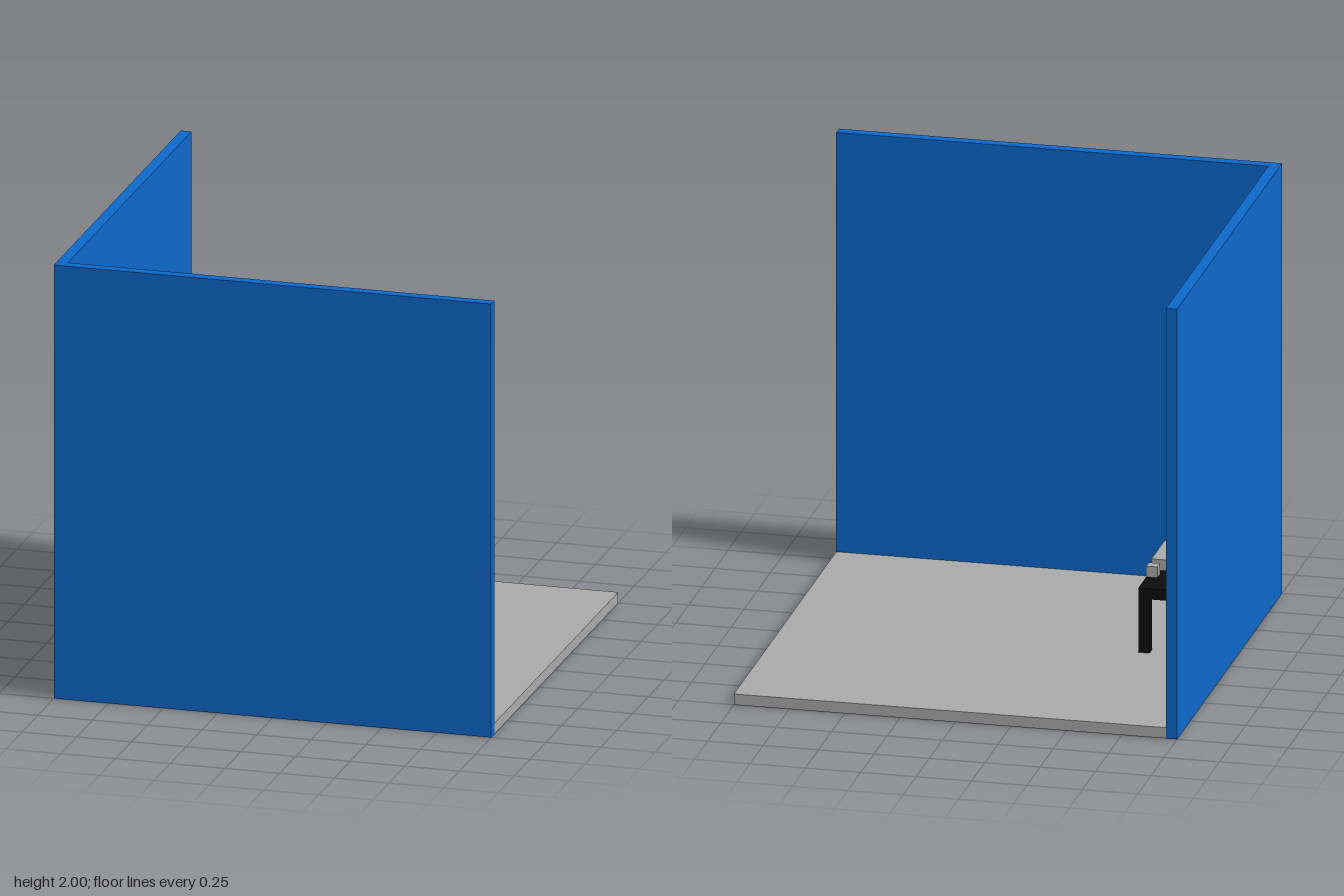
import * as THREE from 'three';

export function createModel() {
  const model = new THREE.Group();
  model.name = 'officeCorner';

  const material = (name, color) => {
    const m = new THREE.MeshStandardMaterial({ color });
    m.name = name;
    return m;
  };
  const blue = material('wallBlue', 0x0d68cb);
  const grey = material('lightGrey', 0xa9a9a9);
  const black = material('black', 0x0d0d0d);

  // Box given by its lower and upper bounds on each axis
  const block = (parent, name, mat, [x0, x1], [y0, y1], [z0, z1]) => {
    const mesh = new THREE.Mesh(new THREE.BoxGeometry(x1 - x0, y1 - y0, z1 - z0), mat);
    mesh.position.set((x0 + x1) / 2, (y0 + y1) / 2, (z0 + z1) / 2);
    mesh.name = name;
    parent.add(mesh);
  };
  const group = (name) => {
    const g = new THREE.Group();
    g.name = name;
    model.add(g);
    return g;
  };

  // Room: floor and two walls meeting at a corner
  const room = group('room');
  block(room, 'floor', grey, [-0.95, 1], [0, 0.05], [-1, 0.95]);
  block(room, 'frontWall', blue, [-1, 1], [0, 2], [0.95, 1]);
  block(room, 'sideWall', blue, [-1, -0.95], [0, 2], [-1, 0.95]);

  // Desk: top and four square legs
  const desk = group('desk');
  block(desk, 'deskTop', black, [-0.95, -0.6], [0.3, 0.35], [-0.05, 0.6]);
  for (const x of [-0.95, -0.65])
    for (const z of [-0.05, 0.55])
      block(desk, 'deskLeg', black, [x, x + 0.05], [0.05, 0.3], [z, z + 0.05]);

  // Monitor: stem, case, rear housing and a thin screen
  const monitor = group('monitor');
  block(monitor, 'monitorStem', grey, [-0.85, -0.8], [0.35, 0.45], [0.3, 0.35]);
  block(monitor, 'monitorCase', grey, [-0.9, -0.75], [0.45, 0.7], [0.2, 0.45]);
  block(monitor, 'monitorRear', grey, [-0.95, -0.9], [0.5, 0.65], [0.25, 0.4]);
  block(monitor, 'screen', black, [-0.75, -0.746], [0.5, 0.6], [0.25, 0.4]);

  // Other desk equipment
  const equipment = group('equipment');
  block(equipment, 'keyboard', grey, [-0.7, -0.6], [0.35, 0.4], [0.2, 0.45]);
  block(equipment, 'mouse', grey, [-0.65, -0.6], [0.35, 0.4], [0.1, 0.15]);
  block(equipment, 'computerTower', grey, [-0.9, -0.75], [0.35, 0.75], [-0.05, 0.1]);

  return model;
}
